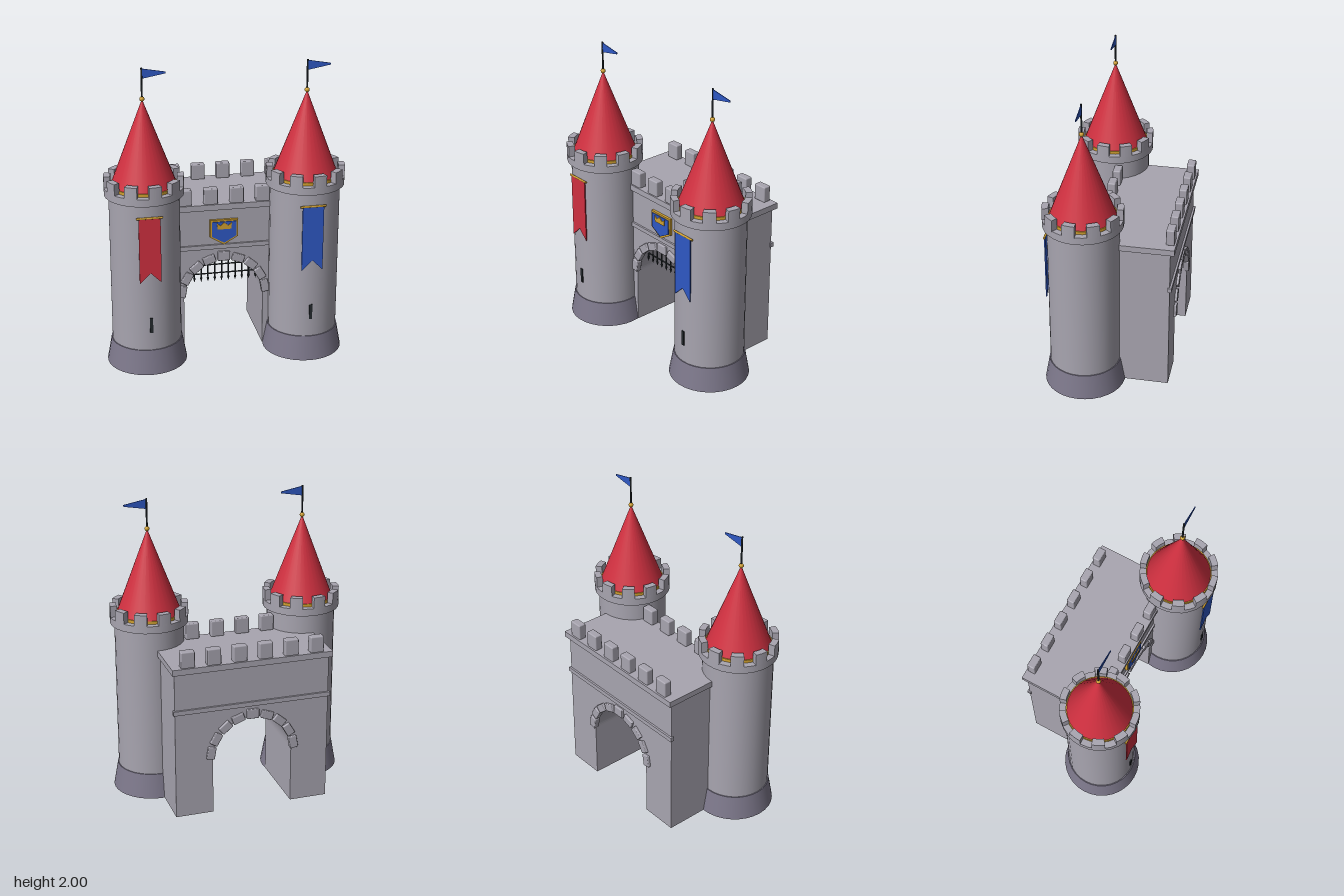
import * as THREE from 'three';
import { RoundedBoxGeometry } from 'three/addons/geometries/RoundedBoxGeometry.js';

const material = (name, color, side = THREE.FrontSide) => {
  const m = new THREE.MeshStandardMaterial({ color, side });
  m.name = name;
  return m;
};

export function createModel() {
  const stone = material('stone', 0xa8a5b0);
  const darkStone = material('dark stone', 0x7d788b);
  const red = material('red', 0xd03040, THREE.DoubleSide);
  const blue = material('blue', 0x2f58c4, THREE.DoubleSide);
  const gold = material('gold', 0xd0a030);
  const iron = material('iron', 0x22282c);

  const model = new THREE.Group();
  model.name = 'castleGate';

  const add = (parent, name, geometry, mat, x = 0, y = 0, z = 0) => {
    const mesh = new THREE.Mesh(geometry, mat);
    mesh.name = name;
    mesh.position.set(x, y, z);
    parent.add(mesh);
    return mesh;
  };
  const group = (name, x = 0, y = 0, z = 0) => {
    const g = new THREE.Group();
    g.name = name;
    g.position.set(x, y, z);
    model.add(g);
    return g;
  };
  const polygon = (points) => new THREE.Shape(points.map(([x, y]) => new THREE.Vector2(x, y)));
  const plate = (shape, depth) =>
    new THREE.ExtrudeGeometry(shape, { depth, bevelEnabled: false, curveSegments: 32 });

  // Block of a ring, used for the battlements of the towers
  const ringBlock = (inner, outer, angle, width, height) => {
    const s = new THREE.Shape();
    s.absarc(0, 0, outer, angle - width / 2, angle + width / 2, false);
    s.absarc(0, 0, inner, angle + width / 2, angle - width / 2, true);
    const g = new THREE.ExtrudeGeometry(s, { depth: height, bevelEnabled: false, curveSegments: 4 });
    return g.rotateX(-Math.PI / 2);
  };

  // Round towers
  const buildTower = (name, x, bannerMaterial) => {
    const t = group(name, x, 0, 0.155);
    add(t, 'towerBase', new THREE.CylinderGeometry(0.235, 0.265, 0.165, 32), darkStone, 0, 0.0825);
    add(t, 'towerShaft', new THREE.CylinderGeometry(0.229, 0.229, 1.02, 32), stone, 0, 0.67);
    add(t, 'parapetRing', new THREE.CylinderGeometry(0.257, 0.257, 0.05, 32), stone, 0, 1.2);
    for (let i = 0; i < 10; i++) {
      const angle = THREE.MathUtils.degToRad(-81 + 36 * i);
      add(t, 'towerMerlon', ringBlock(0.214, 0.257, angle, 0.33, 0.08), stone, 0, 1.22);
    }

    // Roof with its finial and pennant
    add(t, 'roofTrim', new THREE.CylinderGeometry(0.216, 0.216, 0.02, 32), gold, 0, 1.235);
    add(t, 'roof', new THREE.ConeGeometry(0.211, 0.56, 32), red, 0, 1.52);
    add(t, 'finial', new THREE.SphereGeometry(0.016, 16, 12), gold, 0, 1.8);
    add(t, 'flagPole', new THREE.CylinderGeometry(0.006, 0.006, 0.2, 10), iron, 0, 1.9);
    const pennant = polygon([[0, 1.93], [0.15, 1.957], [0.15, 1.968], [0, 1.995]]);
    add(t, 'pennant', plate(pennant, 0.005), blue, 0, 0, -0.0025);

    // Swallow-tailed banner and arrow slit
    const banner = polygon([[-0.07, 1.09], [-0.07, 0.645], [0, 0.715], [0.07, 0.645], [0.07, 1.09]]);
    add(t, 'banner', plate(banner, 0.008), bannerMaterial, 0, 0, 0.229);
    const rod = new THREE.CylinderGeometry(0.007, 0.007, 0.17, 10).rotateZ(Math.PI / 2);
    add(t, 'bannerRod', rod, gold, 0, 1.09, 0.233);
    add(t, 'arrowSlit', new THREE.BoxGeometry(0.02, 0.105, 0.009), iron, 0, 0.343, 0.23);
  };
  buildTower('rightTower', -0.53, red);
  buildTower('leftTower', 0.53, blue);

  // Gatehouse with a vaulted passage
  const front = 0.1, back = -0.397, springing = 0.38, archRadius = 0.268;
  const gate = group('gatehouse');
  const wall = new THREE.Shape();
  wall.moveTo(-0.52, 0);
  wall.lineTo(-archRadius, 0);
  wall.lineTo(-archRadius, springing);
  wall.absarc(0, springing, archRadius, Math.PI, 0, true);
  wall.lineTo(archRadius, 0);
  wall.lineTo(0.52, 0);
  wall.lineTo(0.52, 1.01);
  wall.lineTo(-0.52, 1.01);
  add(gate, 'gateWall', plate(wall, front - back), stone, 0, 0, back);
  add(gate, 'cornice', new THREE.BoxGeometry(1.076, 0.04, 0.55), stone, 0, 1.025, -0.15);

  // String courses, arch stones and battlements on both faces
  for (const [face, sign] of [[front, 1], [back, -1]]) {
    add(gate, 'stringCourse', new THREE.BoxGeometry(1.06, 0.03, 0.026), stone, 0, 0.74, face);
    for (let i = -4; i <= 4; i++) {
      const a = THREE.MathUtils.degToRad(20 * i);
      const r = i === 0 ? 0.29 : 0.285;
      const block = new RoundedBoxGeometry(0.084, i === 0 ? 0.065 : 0.055, 0.04, 2, 0.006);
      const mesh = add(gate, 'archStone', block, stone,
        r * Math.sin(a), springing + r * Math.cos(a), face - sign * 0.003);
      mesh.rotation.z = -a;
    }
    const count = sign > 0 ? 4 : 6;
    for (let i = 0; i < count; i++) {
      const merlon = new RoundedBoxGeometry(0.092, 0.11, 0.054, 2, 0.008);
      add(gate, 'gateMerlon', merlon, stone,
        (i - (count - 1) / 2) * 0.173, 1.097, sign > 0 ? 0.09 : -0.388);
    }
  }

  // Raised portcullis
  const portcullis = group('portcullis', 0, 0, 0.03);
  const archHeight = (x) => springing + Math.sqrt(archRadius ** 2 - x ** 2);
  for (let i = -5; i <= 5; i++) {
    const x = i * 0.0465, top = archHeight(x) + 0.005, bottom = 0.48;
    const length = top - bottom;
    add(portcullis, 'verticalBar', new THREE.CylinderGeometry(0.005, 0.005, length, 8), iron,
      x, bottom + length / 2);
    const spike = new THREE.ConeGeometry(0.009, 0.03, 8).rotateX(Math.PI);
    add(portcullis, 'spike', spike, iron, x, 0.47);
  }
  for (const y of [0.515, 0.578]) {
    const length = 2 * Math.sqrt(archRadius ** 2 - (y - springing) ** 2);
    const bar = new THREE.CylinderGeometry(0.005, 0.005, length, 8).rotateZ(Math.PI / 2);
    add(portcullis, 'crossBar', bar, iron, 0, y);
  }

  // Shield with a crown above the arch
  const shield = group('shield', 0, 0, front);
  const shieldShape = (w, top, side, point) =>
    polygon([[-w, top], [-w, side], [0, point], [w, side], [w, top]]);
  add(shield, 'shieldBorder', plate(shieldShape(0.094, 0.932, 0.812, 0.756), 0.018), gold);
  add(shield, 'shieldField', plate(shieldShape(0.082, 0.92, 0.818, 0.771), 0.006), blue, 0, 0, 0.018);
  const crown = polygon([[-0.045, 0.87], [0.045, 0.87], [0.05, 0.912], [0.025, 0.895],
    [0, 0.917], [-0.025, 0.895], [-0.05, 0.912]]);
  add(shield, 'crown', plate(crown, 0.006), gold, 0, 0, 0.024);

  return model;
}
